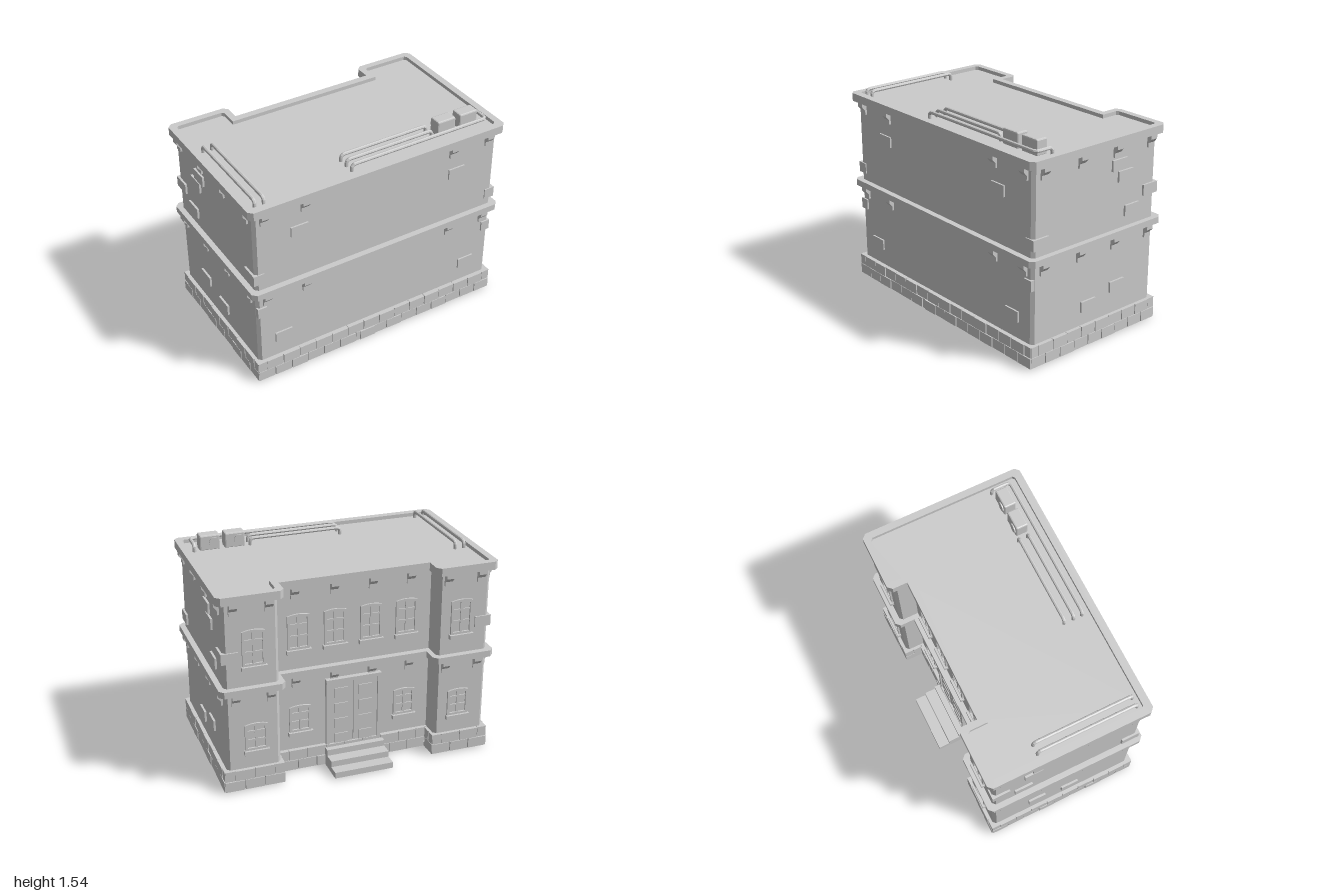
import * as THREE from 'three';
import { RoundedBoxGeometry } from 'three/addons/geometries/RoundedBoxGeometry.js';

const mat = new THREE.MeshStandardMaterial({ color: 0xcccccc, flatShading: true });

function add(parent, name, geo, x = 0, y = 0, z = 0) {
  const m = new THREE.Mesh(geo, mat);
  m.name = name;
  m.position.set(x, y, z);
  parent.add(m);
  return m;
}
const box = (parent, name, w, h, d, x, y, z) => add(parent, name, new THREE.BoxGeometry(w, h, d), x, y, z);

function group(parent, name) {
  const g = new THREE.Group();
  g.name = name;
  parent.add(g);
  return g;
}

// U-shaped floor outline in x/z: chamfered outer corners, recess in the back
function outline(w, front, back, rw, rz, c) {
  const half = [[w - c, front], [w, front - c], [w, back + c], [w - c, back], [rw + c, back], [rw, back + c], [rw, rz]];
  const other = half.map(([x, z]) => [-x, z]).reverse();
  return [...half, ...other].map(([x, z]) => new THREE.Vector2(x, z));
}

// Slab from an outline, between heights y0 and y1; a hole runs the opposite way round
function slab(parent, name, pts, y0, y1, hole) {
  const s = new THREE.Shape(pts);
  if (hole) s.holes.push(new THREE.Path([...hole].reverse()));
  const g = new THREE.ExtrudeGeometry(s, { depth: y1 - y0, bevelEnabled: false });
  return add(parent, name, g.rotateX(Math.PI / 2), 0, y1, 0);
}

// Stone row along a straight run, alternately deep; (nx, nz) points out of the building
function stoneRow(parent, x0, z0, x1, z1, nx, nz, y0, y1, offset) {
  const len = Math.hypot(x1 - x0, z1 - z0), ux = (x1 - x0) / len, uz = (z1 - z0) / len;
  const n = Math.max(1, Math.round(len / 0.135)), pitch = len / n;
  for (let i = 0; i <= n; i++) {
    const a = Math.max(0, (i - offset) * pitch), b = Math.min(len, (i + 1 - offset) * pitch);
    if (b - a < 0.01) continue;
    const t = (a + b) / 2, L = b - a - 0.006, d = i % 2 ? 0.07 : 0.115, out = (i * 7 % 3) * 0.002;
    const k = out - d / 2;
    box(parent, 'baseStone', nx ? d : L, y1 - y0 - 0.004, nx ? L : d,
      x0 + ux * t + nx * k, (y0 + y1) / 2, z0 + uz * t + nz * k);
  }
}

// Stepped corbel with its back on z = 0 and its top on y = 0
const corbelShape = new THREE.Shape([[-0.02, 0], [0.038, 0], [0.038, -0.03], [0.014, -0.058], [0.014, -0.09], [-0.02, -0.09]]
  .map(p => new THREE.Vector2(...p)));
const corbelGeo = new THREE.ExtrudeGeometry(corbelShape, { depth: 0.055, bevelEnabled: false })
  .translate(0, 0, -0.0275).rotateY(-Math.PI / 2);

function corbel(parent, x, y, z, angle) {
  add(parent, 'corbel', corbelGeo, x, y, z).rotation.y = angle;
}

// Arched casement window facing +z, sill at y = 0
function archPath(Type, w, h, y, rise) {
  const p = new Type();
  p.moveTo(-w / 2, y);
  p.lineTo(w / 2, y);
  p.lineTo(w / 2, y + h - rise);
  p.quadraticCurveTo(0, y + h + rise, -w / 2, y + h - rise);
  p.closePath();
  return p;
}
function makeWindow(parent, x, y, z, h) {
  const g = group(parent, 'window');
  const w = 0.16;
  const rim = archPath(THREE.Shape, w, h, 0, 0.012);
  rim.holes.push(archPath(THREE.Path, w - 0.036, h - 0.036, 0.018, 0.01));
  add(g, 'windowFrame', new THREE.ExtrudeGeometry(rim, { depth: 0.018, bevelEnabled: false, curveSegments: 6 }), 0, 0, -0.005);
  box(g, 'mullion', 0.018, h - 0.03, 0.012, 0, h / 2, 0.003);
  for (const f of [0.38, 0.7]) box(g, 'glazingBar', w - 0.03, 0.012, 0.01, 0, h * f, 0.003);
  box(g, 'windowSill', 0.178, 0.03, 0.038, 0, -0.013, 0.01);
  g.position.set(x, y, z);
  g.rotation.y = Math.PI;
}

// Roof pipe through points, with rounded bends
function pipe(parent, pts, r = 0.013) {
  const v = pts.map(p => new THREE.Vector3(...p)), path = new THREE.CurvePath(), bend = 0.03;
  let from = v[0];
  for (let i = 1; i < v.length - 1; i++) {
    const a = v[i].clone().add(v[i - 1].clone().sub(v[i]).setLength(bend));
    const b = v[i].clone().add(v[i + 1].clone().sub(v[i]).setLength(bend));
    path.add(new THREE.LineCurve3(from, a));
    path.add(new THREE.QuadraticBezierCurve3(a, v[i], b));
    from = b;
  }
  path.add(new THREE.LineCurve3(from, v[v.length - 1]));
  add(parent, 'roofPipe', new THREE.TubeGeometry(path, 60, r, 8, false));
}

export function createModel() {
  const model = new THREE.Group();
  model.name = 'building';
  const W = 0.96, F = 0.587, B = -0.53, RW = 0.575, RZ = -0.39;

  // Hollow walls open at the bottom, storey band, roof deck and parapet
  const inside = outline(W - 0.012, F - 0.012, B + 0.012, RW + 0.012, RZ + 0.012, 0.02);
  slab(model, 'walls', outline(W, F, B, RW, RZ, 0.022), 0.09, 1.41, inside);
  const ledge = outline(1, 0.63, -0.575, 0.54, -0.437, 0.03);
  slab(model, 'storeyBand', ledge, 0.74, 0.787);
  slab(model, 'roofDeck', ledge, 1.398, 1.43);
  slab(model, 'parapet', ledge, 1.398, 1.457, outline(0.95, 0.575, -0.527, 0.588, -0.385, 0.015));

  // Stone base in two staggered courses
  const base = group(model, 'stoneBase');
  slab(base, 'baseCore', outline(0.978, 0.61, -0.547, 0.563, -0.41, 0.004), 0.09, 0.163, inside);
  for (const [y0, y1, off] of [[0.008, 0.086, 0], [0.086, 0.166, 0.5]]) {
    stoneRow(base, -0.985, 0.617, 0.985, 0.617, 0, 1, y0, y1, off);
    stoneRow(base, -0.555, -0.418, 0.555, -0.418, 0, -1, y0, y1, off);
    for (const s of [-1, 1]) {
      stoneRow(base, s * 0.985, 0.617, s * 0.985, -0.553, s, 0, y0, y1, off);
      stoneRow(base, s * 0.555, -0.553, s * 0.985, -0.553, 0, -1, y0, y1, off);
      stoneRow(base, s * 0.555, -0.553, s * 0.555, -0.418, -s, 0, y0, y1, off);
    }
  }
  box(base, 'looseStone', 0.12, 0.074, 0.08, -0.1, 0.047, 0.585);
  box(base, 'looseStone', 0.05, 0.03, 0.07, -0.585, 0.015, -0.42);

  // Corbels below the band and the parapet
  const corbels = group(model, 'corbels');
  for (const y of [0.742, 1.4]) for (const s of [-1, 1]) {
    for (const x of [0.585, 0.885]) corbel(corbels, s * x, y, F, 0);
    for (const z of [0.5, 0.177, -0.143, -0.463]) corbel(corbels, s * W, y, z, s * Math.PI / 2);
    for (const x of [0.64, 0.885]) corbel(corbels, s * x, y, B, Math.PI);
    for (const x of [0.14, 0.42]) corbel(corbels, s * x, y, RZ, Math.PI);
  }

  // Bricks pushed through the walls, mirrored left and right
  const bricks = group(model, 'wallBricks');
  for (const s of [-1, 1]) {
    for (const [x, y, w] of [[0.625, 1.172, 0.13], [0.765, 0.325, 0.13], [0.923, 0.595, 0.07]])
      box(bricks, 'wallBrick', w, 0.078, 0.08, s * x, y, F - 0.028);
    for (const [z, y] of [[-0.17, 1.252], [-0.23, 1.163], [0.528, 0.88], [-0.3, 0.903],
      [0.385, 0.747], [-0.18, 0.368], [0.088, 0.303]])
      box(bricks, 'wallBrick', 0.08, 0.078, 0.133, s * (W - 0.025), y, z);
    box(bricks, 'cornerBrick', 0.12, 0.078, 0.133, s * 0.915, 1.008, -0.473);
  }

  // Windows on the back
  for (const s of [-1, 1]) {
    makeWindow(model, s * 0.75, 0.935, B, 0.262);
    makeWindow(model, s * 0.75, 0.3, B, 0.205);
    makeWindow(model, s * 0.39, 0.3, RZ, 0.205);
    for (const x of [0.132, 0.395]) makeWindow(model, s * x, 0.935, RZ, 0.262);
  }

  // Double door with frame and panels
  const door = group(model, 'door');
  for (const s of [-1, 1]) {
    box(door, 'doorJamb', 0.022, 0.53, 0.04, s * 0.192, 0.395, RZ - 0.008);
    box(door, 'doorLeaf', 0.178, 0.53, 0.03, s * 0.091, 0.39, RZ - 0.002);
    for (const y of [0.2, 0.32, 0.44, 0.56])
      box(door, 'doorPanel', 0.1, 0.075, 0.012, s * 0.09, y, RZ - 0.018);
  }
  box(door, 'doorLintel', 0.41, 0.025, 0.05, 0, 0.662, RZ - 0.013);

  // Entrance steps
  const steps = group(model, 'steps');
  [-0.63, -0.547, -0.462].forEach((z, i) =>
    box(steps, 'step', 0.435, 0.045, -0.40 - z, -0.003, 0.031 + i * 0.045, (z - 0.40) / 2));

  // Roof pipes
  const roof = group(model, 'roofEquipment');
  const lo = 1.42, hi = 1.48;
  for (const x of [-0.915, -0.85])
    pipe(roof, [[x, lo, -0.185], [x, hi, -0.185], [x, hi, 0.54], [x, lo, 0.54]]);
  for (const z of [0.385, 0.455])
    pipe(roof, [[-0.185, lo, z], [-0.185, hi, z], [0.495, hi, z], [0.495, lo, z]]);
  pipe(roof, [[-0.185, lo, 0.52], [-0.185, hi, 0.52], [0.905, hi, 0.52], [0.905, hi, 0.38], [0.905, lo, 0.38]]);

  // Cooling units with round fans
  for (const x of [0.607, 0.79]) {
    add(roof, 'coolingUnit', new RoundedBoxGeometry(0.148, 0.115, 0.09, 1, 0.01), x, 1.4805, 0.43);
    add(roof, 'fan', new THREE.CylinderGeometry(0.036, 0.036, 0.012, 16).rotateX(Math.PI / 2), x - 0.03, 1.485, 0.382);
  }
  return model;
}
